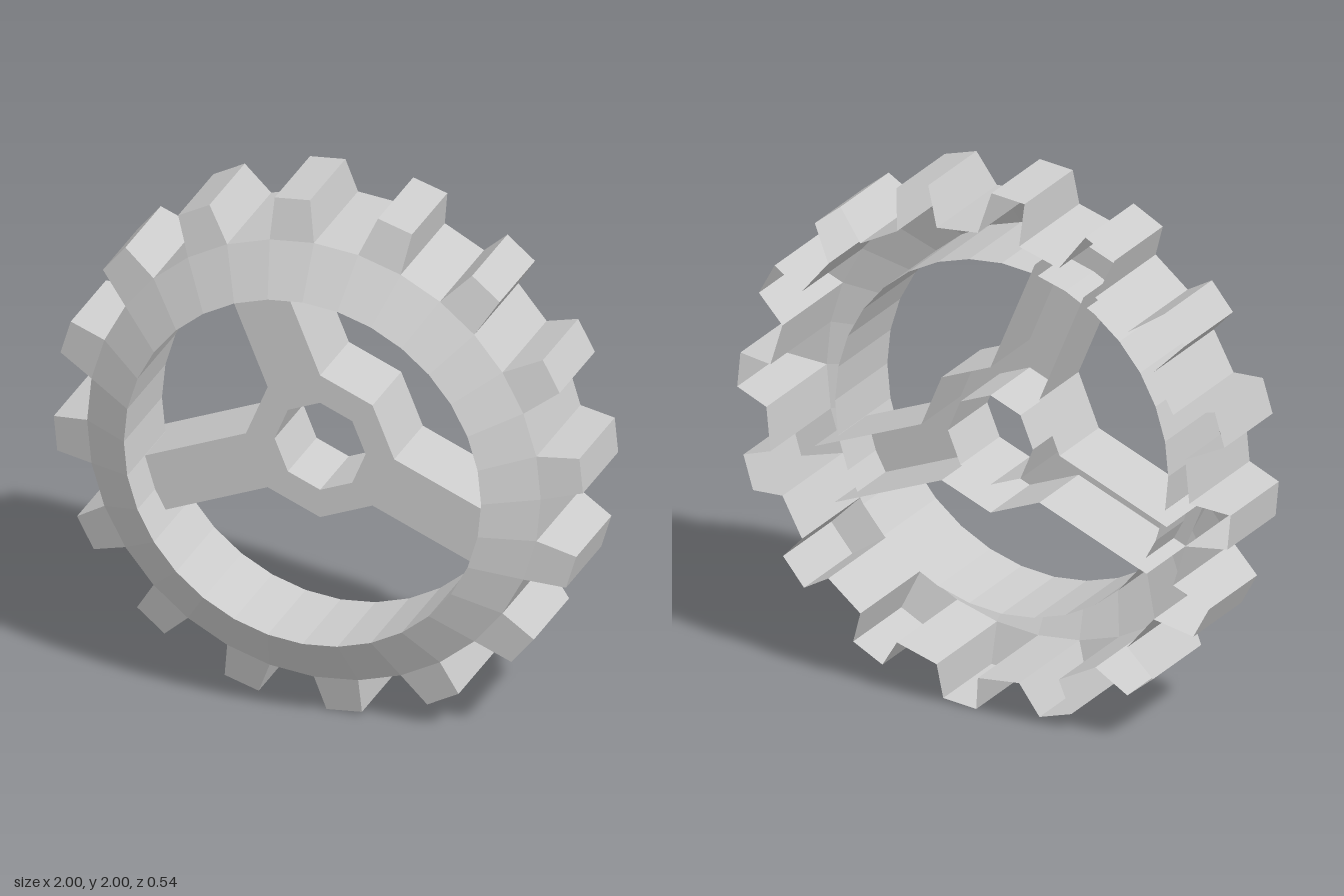
import * as THREE from 'three';

const RIM = 0.857, BORE = 0.675, TIP = 0.998, TEETH = 16;
const Z_BACK = -0.27, Z_FRONT = 0.16;
const HUB_BACK = -0.18, HUB_FRONT = 0.1;

// Thin-walled shell, open at the back
const material = new THREE.MeshStandardMaterial({
  color: 0xcccccc, flatShading: true, side: THREE.DoubleSide,
});

// Geometry from a list of four-cornered faces
function quads(faces) {
  const g = new THREE.BufferGeometry();
  g.setFromPoints(faces.flatMap(([a, b, c, d]) => [a, b, c, a, c, d]));
  g.computeVertexNormals();
  return g;
}

// Corners of a rectangle facing +y, counter-clockwise
function rectangle(halfWidth, y, zFront, zBack) {
  return [
    new THREE.Vector3(-halfWidth, y, zFront), new THREE.Vector3(halfWidth, y, zFront),
    new THREE.Vector3(halfWidth, y, zBack), new THREE.Vector3(-halfWidth, y, zBack),
  ];
}

// Copies of one geometry spread around the axis
function ring(name, partName, geometry, offset) {
  const group = new THREE.Group();
  group.name = name;
  for (let i = 0; i < TEETH; i++) {
    const part = new THREE.Mesh(geometry, material);
    part.name = partName;
    part.rotation.z = (i + offset) * 2 * Math.PI / TEETH;
    group.add(part);
  }
  return group;
}

// Octagonal hub with three of its sides drawn out into spokes
function createHub() {
  const R = 0.28, LENGTH = 0.47, spokeSides = [2, 4, 7];
  const corner = (i, r) => new THREE.Vector2(r * Math.cos(i * Math.PI / 4), r * Math.sin(i * Math.PI / 4));
  const outline = [], hole = [], walls = [];
  const addWall = (p, q) => walls.push([
    new THREE.Vector3(p.x, p.y, HUB_BACK), new THREE.Vector3(q.x, q.y, HUB_BACK),
    new THREE.Vector3(q.x, q.y, HUB_FRONT), new THREE.Vector3(p.x, p.y, HUB_FRONT),
  ]);
  for (let i = 0; i < 8; i++) {
    const a = corner(i, R), b = corner(i + 1, R);
    outline.push(a);
    if (spokeSides.includes(i)) {
      // Spoke sides; the outer end is left open inside the rim
      const out = corner(i + 0.5, LENGTH);
      const aOut = a.clone().add(out), bOut = b.clone().add(out);
      outline.push(aOut, bOut);
      addWall(a, aOut);
      addWall(bOut, b);
    } else {
      addWall(a, b);
    }
    hole.push(corner(-i, 0.172));
    addWall(corner(-i, 0.172), corner(-i - 1, 0.172));
  }
  const shape = new THREE.Shape(outline);
  shape.holes.push(new THREE.Path(hole));

  const hub = new THREE.Group();
  hub.name = 'hubAndSpokes';
  const face = new THREE.Mesh(new THREE.ShapeGeometry(shape).translate(0, 0, HUB_FRONT), material);
  face.name = 'hubFace';
  const sides = new THREE.Mesh(quads(walls), material);
  sides.name = 'hubWalls';
  hub.add(face, sides);
  return hub;
}

export function createModel() {
  const group = new THREE.Group();
  group.name = 'gearWheel';
  const wheel = new THREE.Group();
  wheel.name = 'wheel';
  wheel.position.y = 1;
  group.add(wheel);

  // Rim: bevelled front and bore
  const profile = [[RIM, Z_FRONT], [BORE, 0.272], [BORE, -0.1]]
    .map(([r, z]) => new THREE.Vector2(r, z));
  const rim = new THREE.Mesh(new THREE.LatheGeometry(profile, TEETH * 2).rotateX(Math.PI / 2), material);
  rim.name = 'rim';
  wheel.add(rim);

  // Hollow teeth tapered to 80 %, alternating with flat facets of the rim
  const half = Math.PI / (TEETH * 2);
  const width = RIM * Math.sin(half), middle = (Z_FRONT + Z_BACK) / 2, depth = (Z_FRONT - Z_BACK) * 0.4;
  const root = rectangle(width, RIM * Math.cos(half), Z_FRONT, Z_BACK);
  const tip = rectangle(width * 0.8, TIP, middle + depth, middle - depth);
  const side = (i, j) => [root[i], root[j], tip[j], tip[i]];
  const tooth = quads([tip, side(0, 1), side(1, 2), side(3, 0)]);
  wheel.add(ring('teeth', 'tooth', tooth, 0.25));
  wheel.add(ring('rimFacets', 'rimFacet', quads([root]), 0.75));

  // Hub and spokes, slightly above the rim centre
  const hub = createHub();
  hub.position.y = 0.025;
  wheel.add(hub);

  return group;
}
